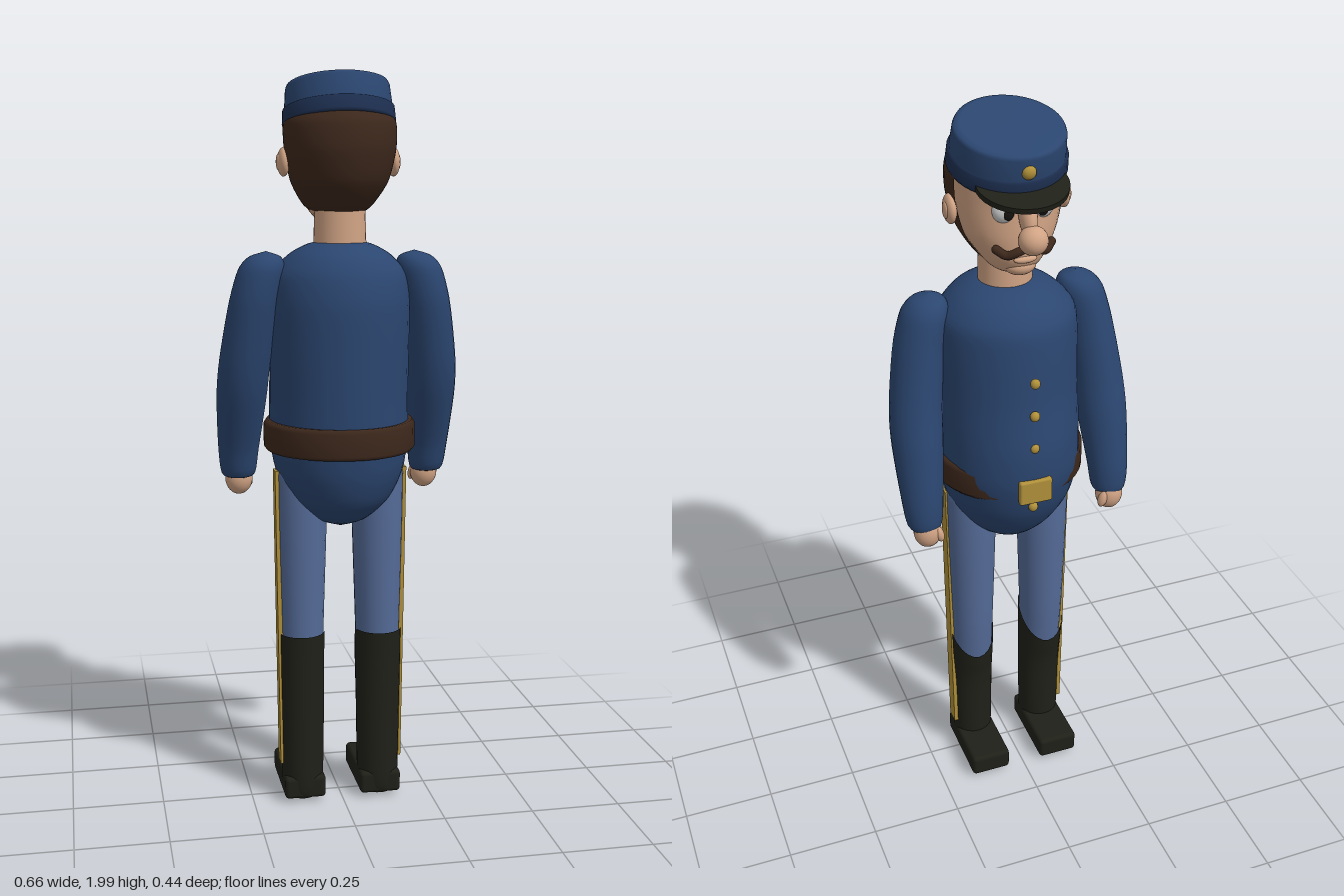
import * as THREE from 'three';
import { RoundedBoxGeometry } from 'three/addons/geometries/RoundedBoxGeometry.js';

const material = (color) => new THREE.MeshStandardMaterial({ color, side: THREE.DoubleSide });
const jacket = material(0x2b4670), cloth = material(0x546a96), band = material(0x1d2f50);
const leather = material(0x1f2018), brown = material(0x3d281c), skin = material(0xd0a384);
const gold = material(0xb0903a), white = material(0xe6e6e6), black = material(0x15120f);

// Smooth body from elliptical rings [y, centre x, centre z, radius x, radius z], bottom to top.
function loft(sections, { steps = 36, sides = 36, arc = Math.PI } = {}) {
  const centres = new THREE.CatmullRomCurve3(sections.map(([y, x, z]) => new THREE.Vector3(x, y, z)), false, 'catmullrom', 0.4);
  const radii = new THREE.CatmullRomCurve3(sections.map((s) => new THREE.Vector3(s[3], s[4], 0)), false, 'catmullrom', 0.4);
  const closed = arc === Math.PI, columns = closed ? sides : sides + 1;
  const points = [], index = [];
  for (let i = 0; i <= steps; i++) {
    const c = centres.getPoint(i / steps), r = radii.getPoint(i / steps);
    for (let j = 0; j < columns; j++) {
      const a = -arc + (2 * arc * j) / sides;
      points.push(c.x + r.x * Math.sin(a), c.y, c.z + r.y * Math.cos(a));
      if (i === steps || j === sides) continue;
      const p = i * columns + j, q = i * columns + ((j + 1) % columns);
      index.push(p, q, q + columns, p, q + columns, p + columns);
    }
  }
  const geometry = new THREE.BufferGeometry();
  geometry.setAttribute('position', new THREE.Float32BufferAttribute(points, 3));
  geometry.setIndex(index);
  geometry.computeVertexNormals();
  return geometry;
}

export function createModel() {
  const model = new THREE.Group();
  model.name = 'uniformedMan';
  const add = (name, geometry, mat, x = 0, y = 0, z = 0, parent = model) => {
    const mesh = new THREE.Mesh(geometry, mat);
    mesh.name = name;
    mesh.position.set(x, y, z);
    parent.add(mesh);
    return mesh;
  };
  const ball = (name, mat, x, y, z, rx, ry, rz) => {
    const mesh = add(name, new THREE.SphereGeometry(1, 24, 16), mat, x, y, z);
    mesh.scale.set(rx, ry, rz);
    return mesh;
  };

  // Torso, given as [y, back z, front z, half width]
  const torso = [
    [0.79, 0.03, 0.028, 0.001], [0.815, 0.10, -0.07, 0.075], [0.87, 0.16, -0.13, 0.135],
    [0.95, 0.192, -0.178, 0.175], [1.05, 0.205, -0.206, 0.189], [1.15, 0.207, -0.206, 0.188],
    [1.27, 0.207, -0.187, 0.188], [1.4, 0.205, -0.175, 0.188], [1.48, 0.187, -0.163, 0.178],
    [1.53, 0.155, -0.125, 0.135], [1.56, 0.1, -0.06, 0.075], [1.562, 0.021, 0.019, 0.001],
  ].map(([y, b, f, w]) => [y, 0, (b + f) / 2, w, (b - f) / 2]);
  add('jacket', loft(torso, { steps: 48, sides: 40 }), jacket);

  // Belt, buckle and buttons
  const beltProfile = [[0.17, 1.005], [0.198, 1.005], [0.206, 1.015], [0.206, 1.075], [0.198, 1.087], [0.17, 1.087]];
  add('belt', new THREE.LatheGeometry(beltProfile.map((p) => new THREE.Vector2(...p)), 40), brown, 0, 0, 0.012);
  add('buckle', new RoundedBoxGeometry(0.09, 0.07, 0.02, 2, 0.006), gold, 0, 1.045, -0.207);
  for (const y of [1.36, 1.265, 1.17, 0.985]) ball('button', gold, 0, y, y < 1 ? -0.192 : -0.198, 0.013, 0.014, 0.012);

  for (const s of [1, -1]) {
    // Sleeve and hand
    add('sleeve', loft([
      [0.915, s * 0.267, -0.082, 0.001, 0.001], [0.922, s * 0.267, -0.081, 0.044, 0.045],
      [1.0, s * 0.267, -0.068, 0.056, 0.058], [1.15, s * 0.262, -0.025, 0.068, 0.075],
      [1.25, s * 0.255, 0.0, 0.069, 0.077], [1.4, s * 0.234, 0.026, 0.066, 0.075],
      [1.49, s * 0.213, 0.033, 0.062, 0.066], [1.525, s * 0.203, 0.034, 0.043, 0.045],
      [1.54, s * 0.2, 0.034, 0.001, 0.001],
    ], { sides: 24 }), jacket);
    ball('hand', skin, s * 0.264, 0.908, -0.096, 0.038, 0.046, 0.036);
    ball('thumb', skin, s * 0.238, 0.905, -0.115, 0.013, 0.026, 0.014).rotation.z = -s * 0.3;

    // Trouser leg with side stripe
    add('trouserLeg', loft([
      [0.3, s * 0.107, 0.022, 0.058, 0.058], [0.5, s * 0.108, 0.014, 0.062, 0.068],
      [0.75, s * 0.107, 0.012, 0.069, 0.073], [0.9, s * 0.106, 0.012, 0.072, 0.073],
      [0.955, s * 0.108, 0.012, 0.066, 0.062], [0.98, s * 0.11, 0.012, 0.001, 0.001],
    ], { sides: 24 }), cloth);
    const stripe = add('sideStripe', new THREE.BoxGeometry(0.014, 0.84, 0.042), gold, s * 0.17, 0.53, 0.02);
    stripe.rotation.z = -s * 0.012;

    // Boot shaft, its top edge dipping toward the toes
    const shaft = loft([
      [0.005, s * 0.109, 0.028, 0.001, 0.001], [0.015, s * 0.109, 0.028, 0.045, 0.045],
      [0.06, s * 0.108, 0.025, 0.057, 0.06], [0.25, s * 0.108, 0.024, 0.061, 0.06],
      [0.4, s * 0.109, 0.018, 0.064, 0.067], [0.49, s * 0.109, 0.016, 0.065, 0.071],
    ], { sides: 24 });
    const p = shaft.attributes.position;
    for (let i = 0; i < p.count; i++) {
      const y = p.getY(i);
      if (y > 0.3) p.setY(i, y - Math.max(0, 0.03 - p.getZ(i)) * 1.2 * (y - 0.3) / 0.19);
    }
    shaft.computeVertexNormals();
    add('bootShaft', shaft, leather);
    add('bootFoot', new RoundedBoxGeometry(0.115, 0.064, 0.232, 3, 0.012), leather, s * 0.107, 0.048, -0.036);

    // Ear, eye, brow and half of the moustache
    ball('ear', skin, s * 0.148, 1.77, 0.006, 0.016, 0.038, 0.034);
    ball('innerEar', skin, s * 0.16, 1.77, 0.002, 0.007, 0.022, 0.018);
    ball('eye', white, s * 0.048, 1.795, -0.104, 0.031, 0.032, 0.024);
    ball('pupil', black, s * 0.044, 1.793, -0.124, 0.014, 0.018, 0.007);
    ball('eyebrow', brown, s * 0.052, 1.842, -0.122, 0.034, 0.008, 0.012).rotation.z = -s * 0.15;
    const whisker = new THREE.CatmullRomCurve3([
      [0, 1.705, -0.138], [0.025, 1.7, -0.143], [0.05, 1.688, -0.13], [0.072, 1.7, -0.112],
    ].map(([x, y, z]) => new THREE.Vector3(s * x, y, z)));
    add('moustache', new THREE.TubeGeometry(whisker, 16, 0.011, 10), brown);
    ball('moustacheTip', brown, s * 0.072, 1.7, -0.112, 0.011, 0.011, 0.011);
  }

  // Neck and head
  add('neck', new THREE.CylinderGeometry(0.066, 0.071, 0.16, 28), skin, 0, 1.62, 0.02);
  const head = [
    [1.608, 0, -0.03, 0.001, 0.001], [1.622, 0, -0.025, 0.055, 0.07], [1.66, 0, -0.012, 0.088, 0.112],
    [1.72, 0, 0.008, 0.124, 0.136], [1.8, 0, 0.02, 0.142, 0.144], [1.87, 0, 0.015, 0.143, 0.143],
    [1.91, 0, 0.01, 0.12, 0.12],
  ];
  add('head', loft(head), skin);
  const hair = head.slice(2).map(([y, x, z, rx, rz]) => [y, x, z + 0.003, rx + 0.005, rz + 0.006]);
  hair.unshift([1.635, 0, 0.0, 0.06, 0.075]);
  add('hair', loft(hair, { arc: 1.85 }), brown);

  // Nose, mouth and chin
  ball('noseTip', skin, 0, 1.738, -0.174, 0.037, 0.036, 0.037);
  ball('noseBridge', skin, 0, 1.785, -0.138, 0.022, 0.058, 0.03).rotation.x = 0.4;
  ball('lowerLip', skin, 0, 1.668, -0.122, 0.03, 0.01, 0.012);
  ball('chin', skin, 0, 1.64, -0.085, 0.042, 0.026, 0.036);

  // Cap, tipped down toward the face
  const cap = new THREE.Group();
  cap.name = 'cap';
  cap.position.set(0, 1.876, 0.006);
  cap.rotation.x = -0.24;
  model.add(cap);
  const crown = [[0.142, 0], [0.142, 0.04], [0.138, 0.085], [0.134, 0.094], [0.12, 0.098], [0, 0.1]];
  add('capCrown', new THREE.LatheGeometry(crown.map((p) => new THREE.Vector2(...p)), 40), jacket, 0, 0, 0, cap);
  const rim = [[0.13, -0.016], [0.146, -0.014], [0.15, -0.006], [0.148, 0.028], [0.14, 0.032]];
  add('capBand', new THREE.LatheGeometry(rim.map((p) => new THREE.Vector2(...p)), 40), band, 0, 0, 0, cap);
  const visor = add('visor', new THREE.CylinderGeometry(1, 1, 0.014, 36), leather, 0, 0.0, -0.108, cap);
  visor.scale.set(0.115, 1, 0.108);
  const badge = add('capBadge', new THREE.SphereGeometry(0.018, 16, 12), gold, 0, 0.055, -0.141, cap);
  badge.scale.z = 0.7;

  return model;
}
